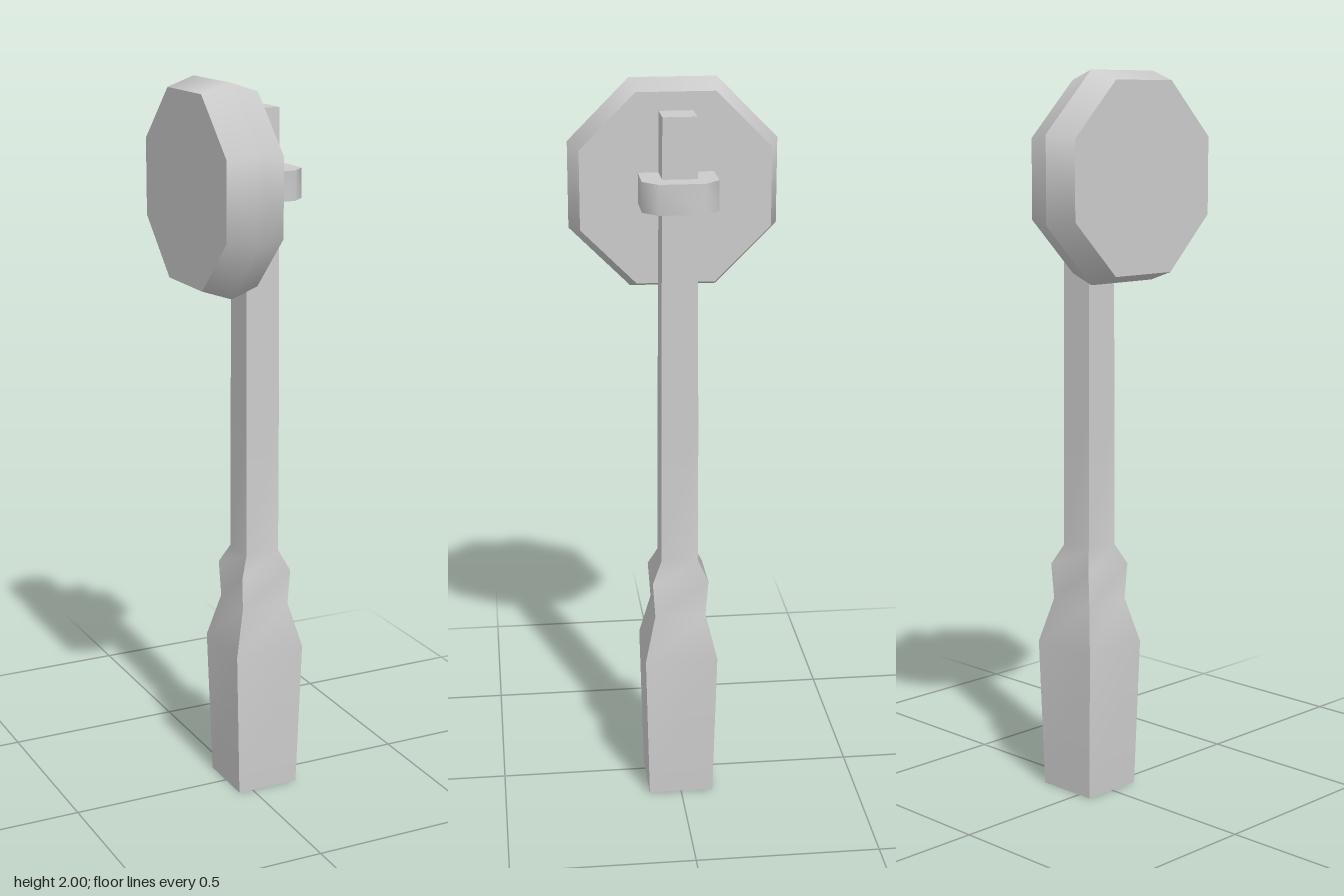
import * as THREE from 'three';
import { mergeGeometries, toCreasedNormals } from 'three/addons/utils/BufferGeometryUtils.js';

const grey = new THREE.MeshStandardMaterial({ color: 0xcccccc });
const greyDouble = new THREE.MeshStandardMaterial({ color: 0xcccccc, side: THREE.DoubleSide });

function part(name, geometry, material = grey) {
  const mesh = new THREE.Mesh(geometry, material);
  mesh.name = name;
  return mesh;
}

// Four-sided tube through rectangular sections [y, halfX, halfZ]:
// sharp along its corners, smooth up each side, closed on top only.
function squareTube(sections, cx) {
  const corners = [[1, 1], [1, -1], [-1, -1], [-1, 1]];
  const pos = [], index = [];
  const add = ([y, hx, hz], [sx, sz]) => pos.push(cx + sx * hx, y, sz * hz);
  for (let s = 0; s < 4; s++) {
    const start = pos.length / 3;
    sections.forEach((section, i) => {
      add(section, corners[s]);
      add(section, corners[(s + 1) % 4]);
      if (i > 0) {
        const a = start + (i - 1) * 2;
        index.push(a, a + 1, a + 3, a, a + 3, a + 2);
      }
    });
  }
  const top = pos.length / 3;
  corners.forEach((c) => add(sections[sections.length - 1], c));
  index.push(top, top + 1, top + 2, top, top + 2, top + 3);
  const g = new THREE.BufferGeometry();
  g.setAttribute('position', new THREE.Float32BufferAttribute(pos, 3));
  g.setIndex(index);
  g.computeVertexNormals();
  return g;
}

// Octagonal disc with a ridge round the middle, its axis along x
function octagonDisc(rim, face, halfWidth) {
  const k = 1 / Math.cos(Math.PI / 8), turn = Math.PI / 8;
  const pieces = [];
  for (const side of [1, -1]) {
    const band = new THREE.CylinderGeometry(
      (side > 0 ? face : rim) * k, (side > 0 ? rim : face) * k, halfWidth, 8, 1, true, turn);
    band.translate(0, side * halfWidth / 2, 0);
    const cap = new THREE.CircleGeometry(face * k, 8, turn);
    cap.rotateX(-side * Math.PI / 2).translate(0, side * halfWidth, 0);
    pieces.push(band, cap);
  }
  return mergeGeometries(pieces).rotateZ(-Math.PI / 2);
}

export function createModel() {
  const model = new THREE.Group();
  model.name = 'octagonHeadedPole';

  // Flared grip running up into the slim pole
  model.add(part('gripAndPole', squareTube([
    [0, 0.09, 0.09],
    [0.42, 0.102, 0.1],
    [0.545, 0.07, 0.07],
    [0.645, 0.074, 0.077],
    [0.7, 0.049, 0.051],
    [1.1, 0.049, 0.05],
    [1.925, 0.048, 0.045],
  ], 0.048), greyDouble));

  // Octagonal head on the side of the pole
  const head = part('head', octagonDisc(0.279, 0.253, 0.08));
  head.position.set(-0.077, 1.721, 0);
  model.add(head);

  // Clamp round the pole with chamfered outer corners
  const outline = new THREE.Shape([
    [0, -0.1], [0.115, -0.1], [0.155, -0.06], [0.155, 0.06], [0.115, 0.1], [0, 0.1],
  ].map(([x, z]) => new THREE.Vector2(x, z)));
  const clamp = new THREE.ExtrudeGeometry(outline, { depth: 0.08, bevelEnabled: false });
  clamp.rotateX(-Math.PI / 2).translate(0, 1.685, 0);
  model.add(part('clamp', toCreasedNormals(clamp, Math.PI / 3.5)));

  return model;
}
